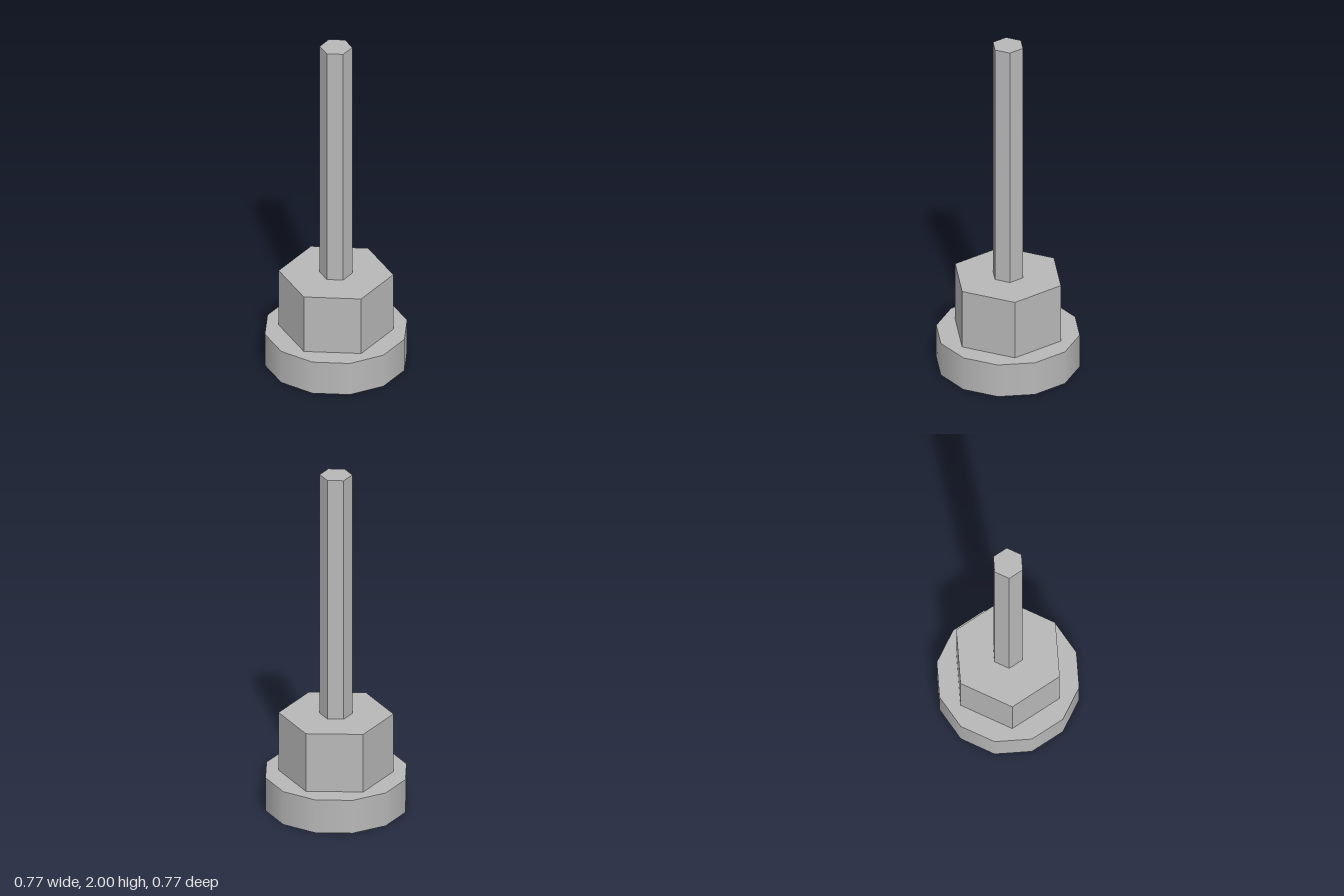
import * as THREE from 'three';
import { mergeGeometries } from 'three/addons/utils/BufferGeometryUtils.js';

// Prism from y0 to y1 with a closed top and an open underside
function openPrism(radius, sides, y0, y1, turn, flat) {
  let wall = new THREE.CylinderGeometry(radius, radius, y1 - y0, sides, 1, true, turn);
  wall.translate(0, (y0 + y1) / 2, 0);
  let cap = new THREE.CircleGeometry(radius, sides, Math.PI / 2 + turn);
  cap.rotateX(-Math.PI / 2).translate(0, y1, 0);
  if (flat) {
    wall = wall.toNonIndexed();
    wall.computeVertexNormals();
    cap = cap.toNonIndexed();
  }
  return mergeGeometries([wall, cap]);
}

export function createModel() {
  const model = new THREE.Group();
  model.name = 'boltAssembly';

  const metal = new THREE.MeshStandardMaterial({ color: 0xb8b8b8, side: THREE.DoubleSide });
  metal.name = 'grey metal';

  function add(name, geometry) {
    const mesh = new THREE.Mesh(geometry, metal);
    mesh.name = name;
    model.add(mesh);
  }

  // Hollow twelve-sided foot with a smooth wall
  add('base', openPrism(0.4, 12, 0, 0.2, Math.PI / 12, false));
  // Hexagonal nut on the foot
  add('nut', openPrism(0.317, 6, 0.2, 0.55, 0, true));
  // Slim hexagonal rod
  add('rod', openPrism(0.09, 6, 0.55, 2, 0, true));

  return model;
}
